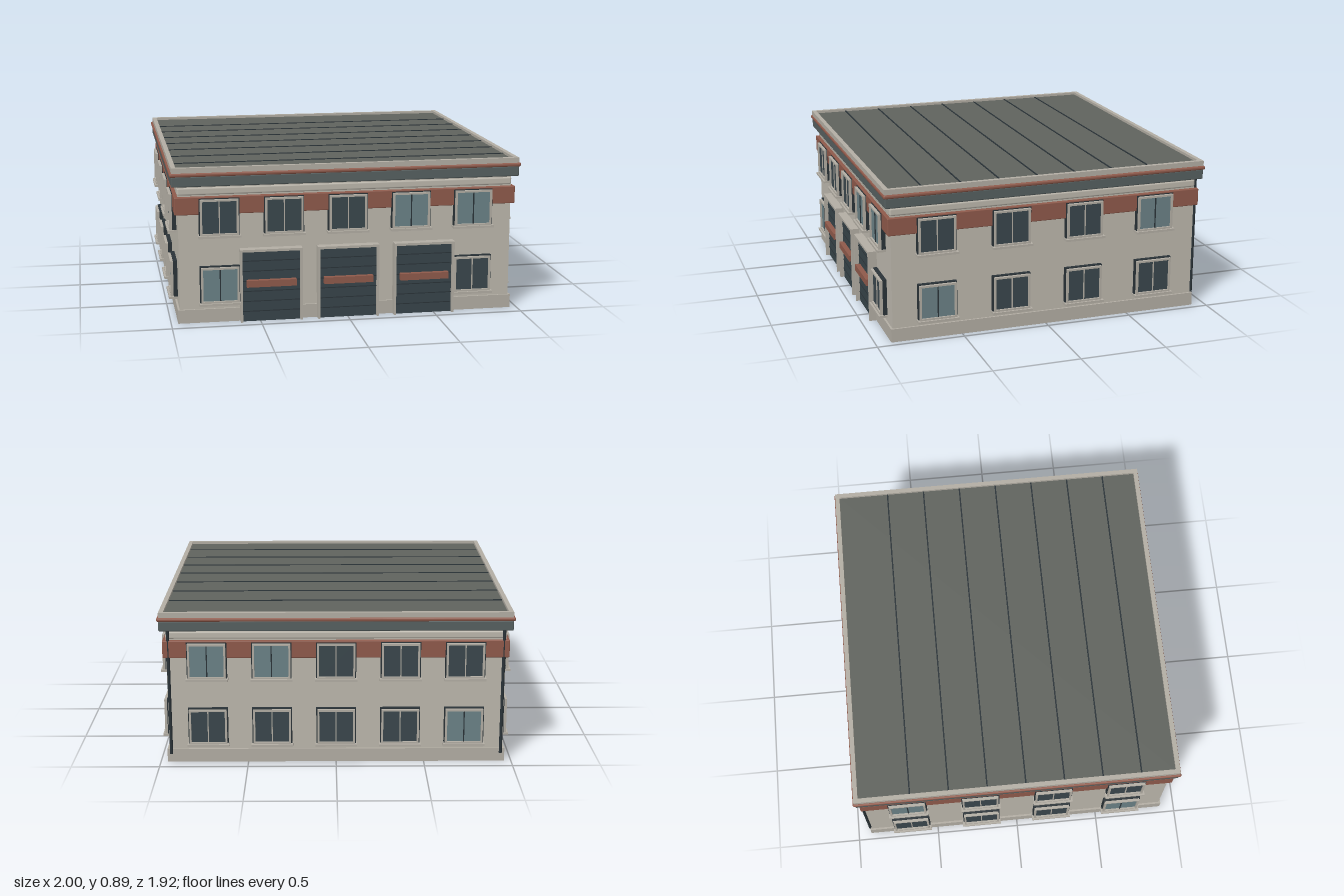
import * as THREE from 'three';
import { RoundedBoxGeometry } from 'three/addons/geometries/RoundedBoxGeometry.js';

const mat = (name, color) => {
  const m = new THREE.MeshStandardMaterial({ color });
  m.name = name;
  return m;
};

export function createModel() {
  const wall = mat('wall', 0xbdb8ad);
  const trim = mat('trim', 0xb3aea4);
  const red = mat('brickRed', 0x8f5a4b);
  const fasciaGrey = mat('fasciaGrey', 0x566060);
  const roofGrey = mat('roofGrey', 0x60635e);
  const dark = mat('darkMetal', 0x2a3338);
  const doorGrey = mat('doorGrey', 0x37444a);
  const glass = mat('glass', 0x3a474d);
  const paleGlass = mat('paleGlass', 0x6b8287);

  const building = new THREE.Group();
  building.name = 'building';
  const CZ = -0.005, HX = 0.95, HZ = 0.905; // body centre and half sizes

  const add = (parent, name, geometry, material, x, y, z) => {
    const m = new THREE.Mesh(geometry, material);
    m.name = name;
    m.position.set(x, y, z);
    parent.add(m);
    return m;
  };
  const box = (parent, name, material, w, h, d, x, y, z) =>
    add(parent, name, new THREE.BoxGeometry(w, h, d), material, x, y, z);

  // Storey-wide slab that sticks out from the body by "out", between two heights
  const slab = (name, material, out, y0, y1, r = 0) => {
    const w = 2 * (HX + out), h = y1 - y0, d = 2 * (HZ + out);
    const g = r ? new RoundedBoxGeometry(w, h, d, 2, r) : new THREE.BoxGeometry(w, h, d);
    return add(building, name, g, material, 0, (y0 + y1) / 2, CZ);
  };
  slab('walls', wall, 0, 0.02, 0.78);
  slab('plinth', trim, 0.011, 0, 0.077);
  slab('redBand', red, 0.02, 0.62, 0.72, 0.005);
  slab('upperMoulding', wall, 0.004, 0.725, 0.772, 0.012);
  slab('fascia', fasciaGrey, 0.036, 0.78, 0.838, 0.006);
  slab('redEaveTrim', red, 0.045, 0.836, 0.858, 0.009);

  // Roof deck, seams and parapet
  slab('roofDeck', roofGrey, 0.02, 0.85, 0.872);
  for (let i = 0; i < 7; i++) {
    box(building, 'roofSeam', dark, 1.92, 0.006, 0.008, 0, 0.873, -0.625 + i * 0.2235);
  }
  for (const s of [-1, 1]) {
    box(building, 'parapetSide', trim, 0.026, 0.034, 1.886, s * 0.971, 0.87, CZ);
    box(building, 'parapetEnd', trim, 1.916, 0.034, 0.026, 0, 0.87, CZ + s * 0.93);
  }

  // Rectangular frame with a hole, facing +z
  const frameGeometry = (w, h, t, depth) => {
    const rect = (target, a, b) => {
      target.moveTo(-a, -b);
      target.lineTo(a, -b);
      target.lineTo(a, b);
      target.lineTo(-a, b);
      target.closePath();
      return target;
    };
    const s = rect(new THREE.Shape(), w / 2, h / 2);
    s.holes.push(rect(new THREE.Path(), w / 2 - t, h / 2 - t));
    return new THREE.ExtrudeGeometry(s, { depth, bevelEnabled: false });
  };
  const windowFrame = frameGeometry(0.213, 0.204, 0.011, 0.02);

  // Window built facing +z with the wall at z = 0
  const addWindow = (facade, x, y, pale) => {
    const g = new THREE.Group();
    g.name = 'window';
    g.position.set(x, y, 0);
    box(g, 'windowSurround', dark, 0.225, 0.214, 0.023, 0, 0, 0.0115);
    box(g, 'windowPane', pale ? paleGlass : glass, 0.194, 0.185, 0.008, 0, 0, 0.024);
    add(g, 'windowFrame', windowFrame, trim, 0, 0, 0.019);
    box(g, 'windowMullion', pale ? dark : trim, 0.006, 0.185, 0.006, 0, 0, 0.03);
    box(g, 'windowSill', trim, 0.236, 0.013, 0.05, 0, -0.108, 0.025);
    facade.add(g);
  };

  // Four facades; u runs along each one, dir keeps u aligned with world x or z
  const long = [-0.724, -0.362, 0, 0.362, 0.724];
  const short = [-0.65, -0.217, 0.217, 0.65];
  const facades = [
    { name: 'front', angle: 0, pos: [0, 0, CZ + HZ], us: long, dir: 1, up: [3, 4], low: [0], skip: [1, 2, 3] },
    { name: 'back', angle: Math.PI, pos: [0, 0, CZ - HZ], us: long, dir: -1, up: [3, 4], low: [0], skip: [] },
    { name: 'left', angle: Math.PI / 2, pos: [HX, 0, CZ], us: short, dir: -1, up: [0], low: [3], skip: [] },
    { name: 'right', angle: -Math.PI / 2, pos: [-HX, 0, CZ], us: short, dir: 1, up: [0], low: [3], skip: [] },
  ];
  for (const f of facades) {
    const g = new THREE.Group();
    g.name = f.name + 'Windows';
    g.position.set(...f.pos);
    g.rotation.y = f.angle;
    f.us.forEach((u, i) => {
      addWindow(g, u * f.dir, 0.604, f.up.includes(i));
      if (!f.skip.includes(i)) addWindow(g, u * f.dir, 0.217, f.low.includes(i));
    });
    building.add(g);
  }

  // Three sectional garage doors on the front
  for (const x of [-0.438, 0, 0.438]) {
    const door = new THREE.Group();
    door.name = 'garageDoor';
    door.position.set(x, 0, CZ + HZ);
    box(door, 'doorPanel', doorGrey, 0.33, 0.404, 0.028, 0, 0.202, 0.014);
    for (let i = 1; i < 7; i++) {
      box(door, 'doorGroove', dark, 0.326, 0.005, 0.004, 0, i * 0.058, 0.029);
    }
    for (const s of [-1, 1]) box(door, 'doorJamb', trim, 0.012, 0.404, 0.052, s * 0.169, 0.202, 0.026);
    box(door, 'doorHeader', trim, 0.35, 0.014, 0.052, 0, 0.411, 0.026);
    box(door, 'doorRedBar', red, 0.28, 0.038, 0.03, 0, 0.222, 0.043);
    building.add(door);
  }

  // Downpipes at the rear corners
  for (const s of [-1, 1]) {
    add(building, 'downpipe', new THREE.CylinderGeometry(0.009, 0.009, 0.73, 10), dark, s * 0.938, 0.415, CZ - HZ - 0.012);
  }
  return building;
}
